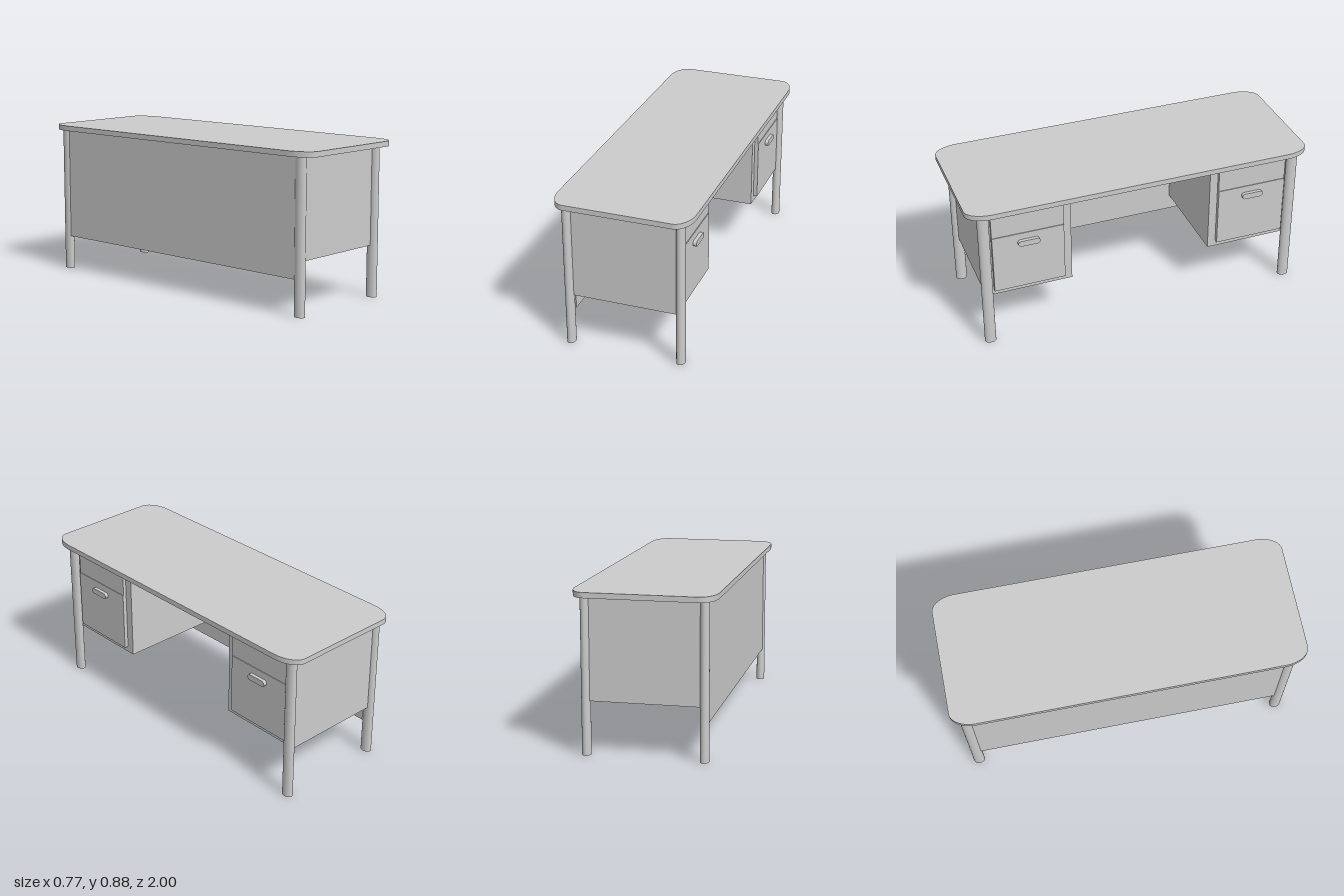
import * as THREE from 'three';

const material = new THREE.MeshStandardMaterial({ color: 0xcccccc });

function add(parent, name, geometry, x = 0, y = 0, z = 0) {
  const mesh = new THREE.Mesh(geometry, material);
  mesh.name = name;
  mesh.position.set(x, y, z);
  parent.add(mesh);
  return mesh;
}

// Box given by its lower and upper limits on each axis
function addBox(parent, name, [x0, x1], [y0, y1], [z0, z1]) {
  return add(parent, name, new THREE.BoxGeometry(x1 - x0, y1 - y0, z1 - z0),
    (x0 + x1) / 2, (y0 + y1) / 2, (z0 + z1) / 2);
}

// Rectangle with elliptical corners, half sizes w and h, corner radii rx and ry
function roundedRect(w, h, rx, ry) {
  const s = new THREE.Shape();
  s.moveTo(w, -h + ry);
  const corners = [[1, 1, 0], [-1, 1, 1], [-1, -1, 2], [1, -1, 3]];
  for (const [sx, sy, q] of corners) {
    s.absellipse(sx * (w - rx), sy * (h - ry), rx, ry, q * Math.PI / 2, (q + 1) * Math.PI / 2);
  }
  return s;
}

function createPedestal(z) {
  const pedestal = new THREE.Group();
  pedestal.name = 'drawerPedestal';
  pedestal.position.z = z;
  addBox(pedestal, 'cabinet', [-0.3, 0.291], [0.295, 0.856], [-0.252, 0.252]);

  // Drawer fronts, standing slightly proud of the cabinet
  addBox(pedestal, 'lowerDrawerFront', [0.285, 0.314], [0.33, 0.68], [-0.205, 0.205]);
  addBox(pedestal, 'upperDrawerFront', [0.285, 0.31], [0.68, 0.856], [-0.205, 0.205]);

  // Pill-shaped pull on the lower drawer, thin pull on the upper one
  const pill = new THREE.ExtrudeGeometry(roundedRect(0.062, 0.017, 0.0165, 0.0165),
    { depth: 0.022, bevelEnabled: false, curveSegments: 8 });
  pill.rotateY(Math.PI / 2);
  add(pedestal, 'lowerHandle', pill, 0.312, 0.623, 0);
  addBox(pedestal, 'upperHandle', [0.305, 0.325], [0.82, 0.833], [-0.062, 0.062]);
  return pedestal;
}

export function createModel() {
  const desk = new THREE.Group();
  desk.name = 'desk';

  // Table top with rounded corners
  const top = new THREE.ExtrudeGeometry(roundedRect(0.385, 1, 0.085, 0.14),
    { depth: 0.03, bevelEnabled: false, curveSegments: 10 });
  top.rotateX(-Math.PI / 2);
  add(desk, 'tableTop', top, 0, 0.855, 0);

  // Four oval legs
  for (const x of [-0.322, 0.314]) {
    for (const z of [0.904, -0.921]) {
      const leg = new THREE.CylinderGeometry(1, 1, 0.856, 32);
      leg.scale(0.0245, 1, 0.0325);
      add(desk, 'leg', leg, x, 0.428, z);
    }
  }

  // Modesty panel along the closed side
  addBox(desk, 'modestyPanel', [-0.336, -0.298], [0.2, 0.856], [-0.9, 0.88]);

  // Drawer pedestal at each end
  for (const z of [0.655, -0.68]) desk.add(createPedestal(z));

  return desk;
}
